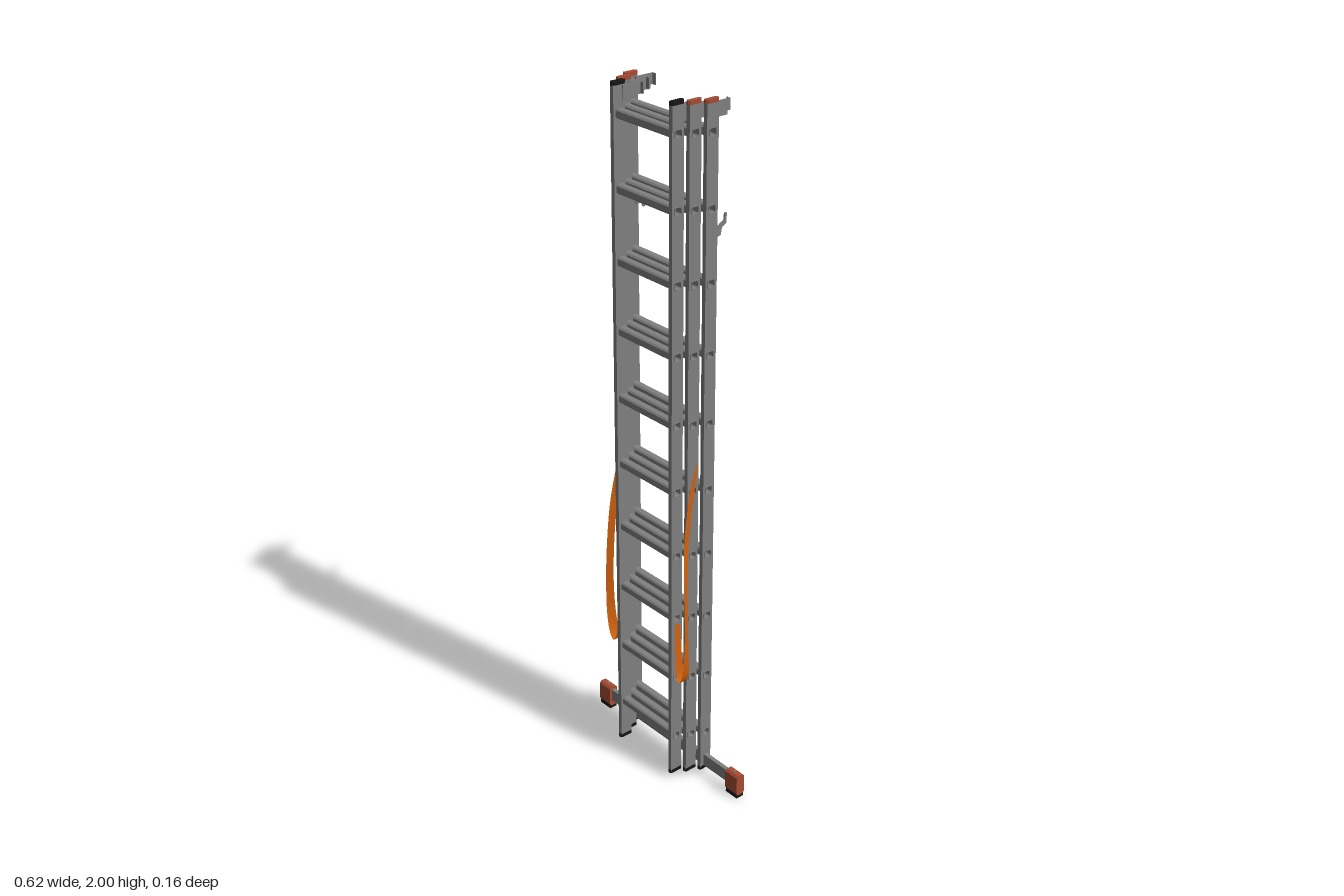
import * as THREE from 'three';

const mat = (name, color, extra = {}) => {
  const m = new THREE.MeshStandardMaterial({ color, ...extra });
  m.name = name;
  return m;
};

export function createModel() {
  const model = new THREE.Group();
  const metal = mat('aluminium', 0x808080);
  const red = mat('red plastic', 0xa64b33);
  const black = mat('black rubber', 0x161616);
  const orange = mat('orange webbing', 0xcf600f, { side: THREE.DoubleSide });

  const add = (parent, name, geo, material, x = 0, y = 0, z = 0) => {
    const m = new THREE.Mesh(geo, material);
    m.name = name;
    m.position.set(x, y, z);
    parent.add(m);
    return m;
  };
  const box = (w, h, d) => new THREE.BoxGeometry(w, h, d);

  // rectangle with clipped corners, centred on (cx, cy)
  const clipped = (w, h, c, cx = 0, cy = 0, Type = THREE.Shape) => {
    const a = w / 2, b = h / 2;
    const pts = [[a, c - b], [a, b - c], [a - c, b], [c - a, b], [-a, b - c], [-a, c - b], [c - a, -b], [a - c, -b]];
    return new Type(pts.map(([x, y]) => new THREE.Vector2(x + cx, y + cy)));
  };
  // extrude a (-z, y) outline along x, centred
  const acrossX = (shape, width) =>
    new THREE.ExtrudeGeometry(shape, { depth: width, bevelEnabled: false, curveSegments: 6 })
      .translate(0, 0, -width / 2).rotateY(Math.PI / 2);
  // extrude an (x, z) outline upward, centred
  const upright = (shape, height) =>
    new THREE.ExtrudeGeometry(shape, { depth: height, bevelEnabled: false })
      .translate(0, 0, -height / 2).rotateX(-Math.PI / 2);

  const rungYs = Array.from({ length: 10 }, (_, i) => 0.145 + i * 0.197);

  // stile with rung openings
  const stileShape = new THREE.Shape([[-0.019, 0.025], [0.019, 0.025], [0.019, 1.992], [-0.019, 1.992]]
    .map(([x, y]) => new THREE.Vector2(x, y)));
  rungYs.forEach(y => stileShape.holes.push(clipped(0.022, 0.022, 0.003, 0, y, THREE.Path)));
  const stileGeo = acrossX(stileShape, 0.0125);
  const capGeo = upright(clipped(0.0155, 0.043, 0.005), 0.01);

  // guide hook plate with an inward lip
  const guideShape = new THREE.Shape([[0.01, 1.947], [0.058, 1.947], [0.058, 1.957], [0.067, 1.957],
    [0.067, 1.987], [0.01, 1.987]].map(([x, y]) => new THREE.Vector2(x, y)));
  const guideGeo = acrossX(guideShape, 0.003);
  // J-shaped catch
  const catchShape = new THREE.Shape([[0.008, 1.65], [0.026, 1.65], [0.032, 1.637], [0.042, 1.64], [0.046, 1.66],
    [0.061, 1.668], [0.061, 1.695], [0.055, 1.695], [0.053, 1.677], [0.04, 1.67], [0.034, 1.662], [0.026, 1.68],
    [0.008, 1.68]].map(([x, y]) => new THREE.Vector2(x, y)));
  const catchGeo = acrossX(catchShape, 0.004);

  // three nested ladder sections
  const sections = [
    { name: 'backSection', x: 0.1545, z: -0.016, cap: red },
    { name: 'middleSection', x: 0.1345, z: 0.022, cap: red },
    { name: 'frontSection', x: 0.113, z: 0.059, cap: black },
  ];
  for (const s of sections) {
    const g = new THREE.Group();
    g.name = s.name;
    g.position.z = s.z;
    model.add(g);
    // hollow rungs, ends just proud of the stiles
    const tube = clipped(0.0245, 0.0245, 0.004);
    tube.holes.push(clipped(0.0195, 0.0195, 0.003, 0, 0, THREE.Path));
    const rungGeo = acrossX(tube, 2 * s.x + 0.016);
    for (const y of rungYs) add(g, 'rung', rungGeo, metal, 0, y);
    for (const side of [-1, 1]) {
      const x = side * s.x;
      add(g, 'stile', stileGeo, metal, x);
      add(g, 'topCap', capGeo, s.cap, x, 1.995);
      add(g, 'bottomCap', capGeo, black, x, 0.024);
      add(g, 'guideHook', guideGeo, metal, x - side * 0.008);
      add(g, 'guideLip', box(0.013, 0.03, 0.002), metal, x - side * 0.0135, 1.972, -0.0665);
      if (s.name === 'backSection') add(g, 'catch', catchGeo, metal, x - side * 0.0085);
    }
  }

  // stabiliser bar with feet
  const base = new THREE.Group();
  base.name = 'stabiliser';
  base.position.z = -0.016;
  model.add(base);
  add(base, 'crossBar', box(0.56, 0.038, 0.0125), metal, 0, 0.048);
  for (const side of [-1, 1]) {
    add(base, 'foot', acrossX(clipped(0.028, 0.066, 0.006, 0, 0.043), 0.049), red, side * 0.287);
    add(base, 'footPad', box(0.046, 0.012, 0.024), black, side * 0.287, 0.006);
    add(base, 'footBolt', new THREE.CylinderGeometry(0.004, 0.004, 0.004, 8), metal, side * 0.287, 0.077);
  }

  // hanging safety straps: path point, then half-width direction in x and z
  const strapRows = [
    [0.145, 1.01, 0.012, 0.001, 0.004],
    [0.148, 0.93, 0.032, 0.002, 0.010],
    [0.155, 0.80, 0.055, 0.003, 0.011],
    [0.163, 0.66, 0.064, 0.004, 0.010],
    [0.168, 0.52, 0.065, 0.005, 0.010],
    [0.165, 0.42, 0.063, 0.004, 0.013],
    [0.156, 0.36, 0.060, 0.002, 0.015],
    [0.145, 0.342, 0.059, 0, 0.015],
    [0.134, 0.36, 0.058, 0, 0.014],
    [0.127, 0.42, 0.058, 0, 0.012],
    [0.122, 0.52, 0.058, 0, 0.009],
  ];
  const strap = side => {
    const path = new THREE.CatmullRomCurve3(strapRows.map(r => new THREE.Vector3(r[0], r[1], r[2])));
    const width = new THREE.CatmullRomCurve3(strapRows.map(r => new THREE.Vector3(r[3], 0, r[4])));
    const pos = [], idx = [], n = 50;
    for (let i = 0; i <= n; i++) {
      const p = path.getPoint(i / n), w = width.getPoint(i / n);
      for (const k of [-1, 1]) pos.push(side * (p.x + k * w.x), p.y, p.z + k * w.z);
      if (i < n) {
        const a = 2 * i;
        idx.push(...(side > 0 ? [a, a + 2, a + 1, a + 1, a + 2, a + 3] : [a, a + 1, a + 2, a + 1, a + 3, a + 2]));
      }
    }
    const geo = new THREE.BufferGeometry();
    geo.setAttribute('position', new THREE.Float32BufferAttribute(pos, 3));
    geo.setIndex(idx);
    geo.computeVertexNormals();
    return geo;
  };
  add(model, 'leftStrap', strap(1), orange);
  add(model, 'rightStrap', strap(-1), orange);

  return model;
}
